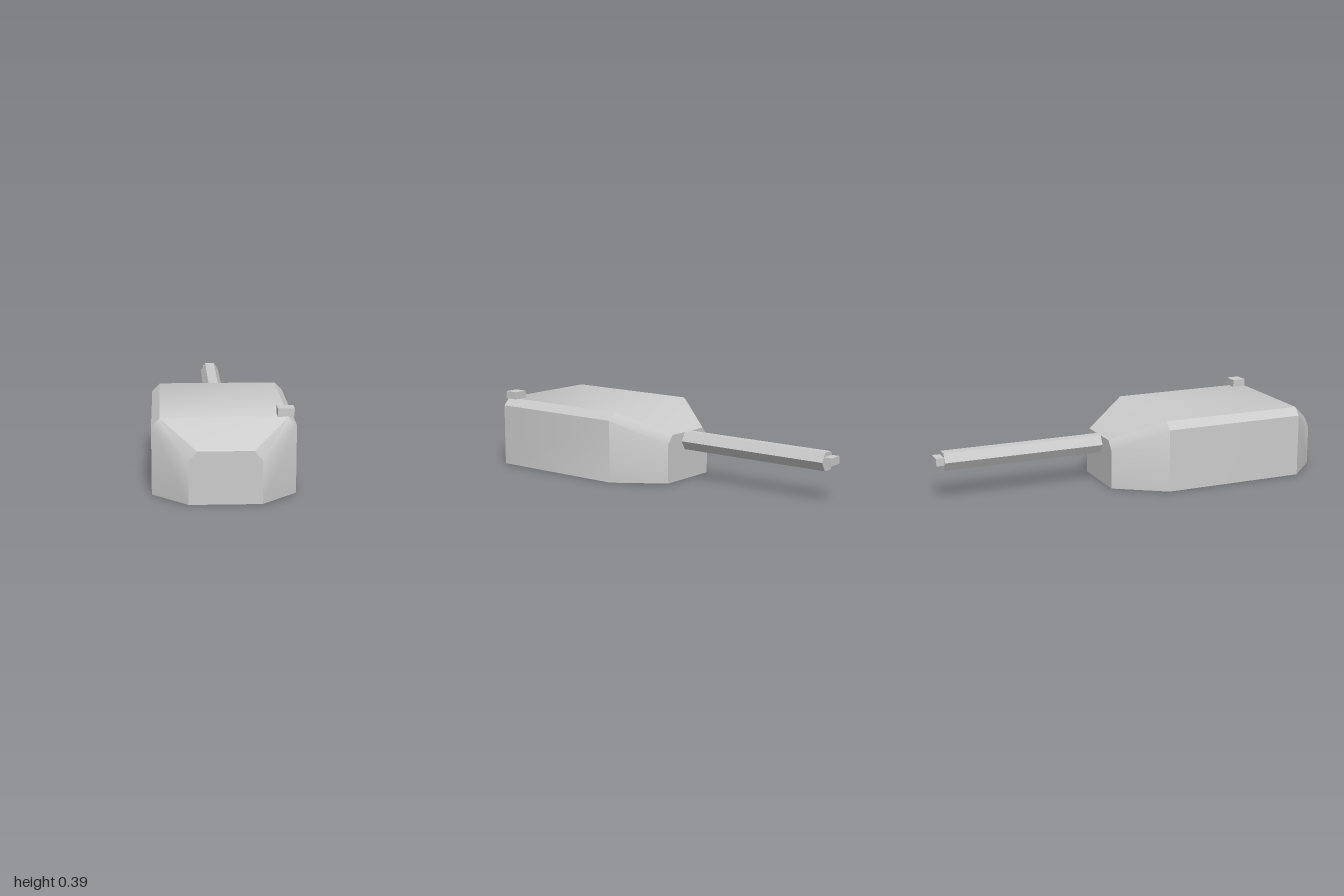
import * as THREE from 'three';
import { toCreasedNormals } from 'three/addons/utils/BufferGeometryUtils.js';

// Six-sided cross-section: half width, shoulder height, half roof width, roof height
function ring([z, w, s, t, h]) {
  return [[-w, 0], [w, 0], [w, s], [t, h], [-t, h], [-w, s]].map(([x, y]) => [x, y, z]);
}

// Skins the cross-sections, listed front to back, and caps both ends
function loft(sections) {
  const rings = sections.map(ring);
  const n = rings[0].length;
  const pos = [];
  const tri = (a, b, c) => pos.push(...a, ...b, ...c);
  for (let r = 0; r < rings.length - 1; r++) {
    const a = rings[r], b = rings[r + 1];
    for (let i = 0; i < n; i++) {
      const j = (i + 1) % n;
      // mirror the diagonal so both sides match
      if (i < 3) {
        tri(a[i], b[i], b[j]);
        tri(a[i], b[j], a[j]);
      } else {
        tri(a[i], b[i], a[j]);
        tri(a[j], b[i], b[j]);
      }
    }
  }
  const front = rings[0], back = rings[rings.length - 1];
  for (let k = 1; k < n - 1; k++) {
    tri(front[0], front[k], front[k + 1]);
    tri(back[0], back[k + 1], back[k]);
  }
  const geo = new THREE.BufferGeometry();
  geo.setAttribute('position', new THREE.Float32BufferAttribute(pos, 3));
  return toCreasedNormals(geo, 0.65);
}

export function createModel() {
  const group = new THREE.Group();
  const smooth = new THREE.MeshStandardMaterial({ color: 0xcccccc });
  const flat = new THREE.MeshStandardMaterial({ color: 0xcccccc, flatShading: true });

  const add = (name, geo, mat, x, y, z) => {
    const mesh = new THREE.Mesh(geo, mat);
    mesh.name = name;
    mesh.position.set(x, y, z);
    group.add(mesh);
    return mesh;
  };

  // Turret housing with tapered ends and bevelled roof edges
  add('turretBody', loft([
    [1.0, 0.163, 0.197, 0.125, 0.242],
    [0.838, 0.326, 0.315, 0.288, 0.353],
    [0.104, 0.326, 0.315, 0.288, 0.353],
    [-0.14, 0.163, 0.197, 0.125, 0.242],
  ]), smooth, 0, 0, 0);

  // Hexagonal barrel, flat side up
  const barrel = new THREE.CylinderGeometry(0.051, 0.051, 0.82, 6);
  barrel.rotateY(Math.PI / 6).rotateX(Math.PI / 2);
  barrel.rotateZ(0);
  add('barrel', barrel, flat, 0, 0.198, -0.55);

  // Small block at the muzzle
  add('muzzleBlock', new THREE.BoxGeometry(0.075, 0.038, 0.075), flat, 0, 0.203, -0.9625);

  // Sight box on the left edge of the roof
  add('roofSight', new THREE.BoxGeometry(0.075, 0.038, 0.07), flat, 0.278, 0.372, 0.797);

  return group;
}
